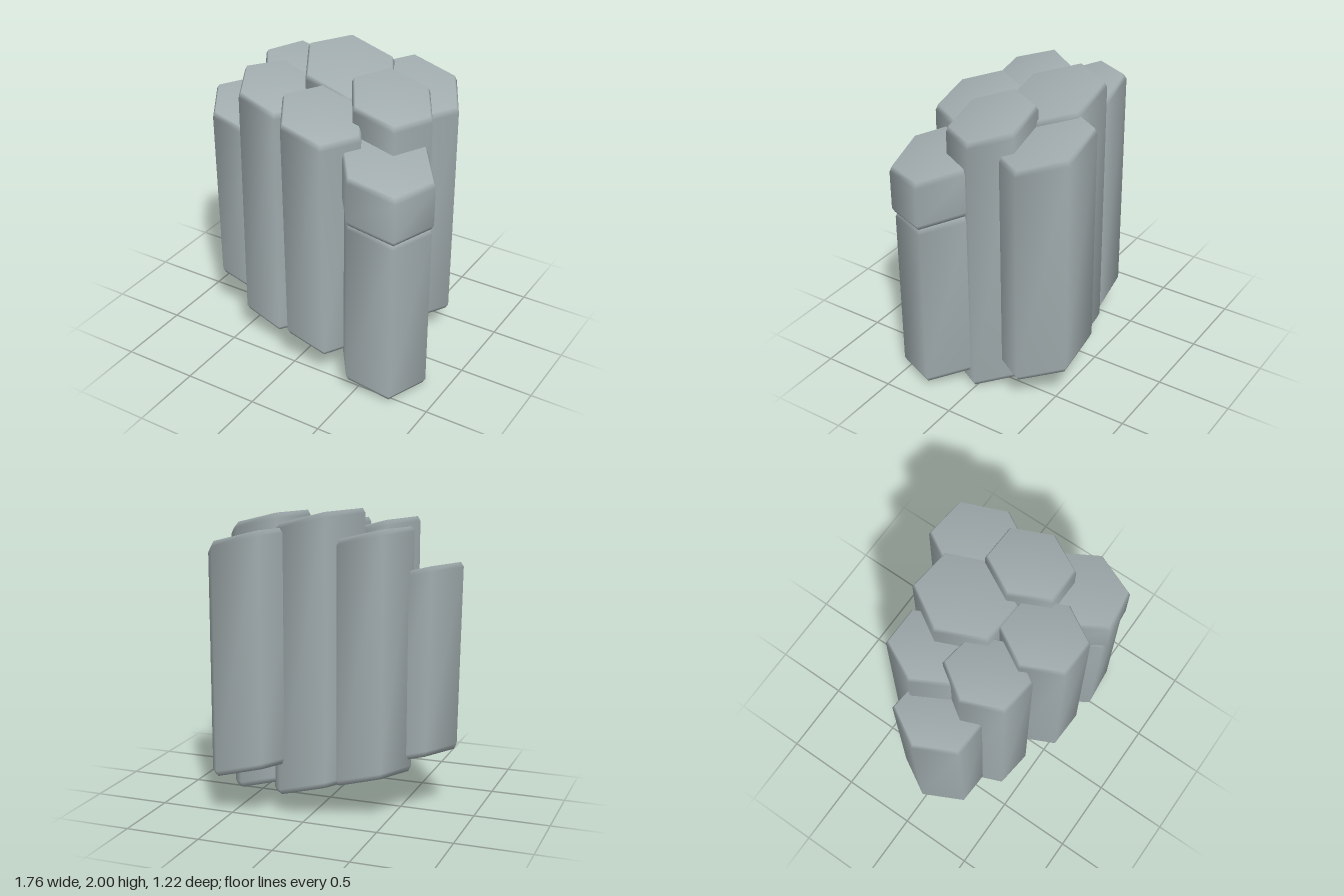
import * as THREE from 'three';

const SLOPE_X = -0.27, SLOPE_Z = -0.155; // shared tilt of every end face
const INSET = 0.018, BEVEL = 0.035;

// Six-sided column with tilted, bevelled ends and soft normals
function columnGeometry({ x, z, r, turn = 0, bottom, top, lean = 0 }) {
  const pos = [], index = [];
  const rings = [
    [r - INSET, bottom, 0],
    [r, bottom, BEVEL],
    [r, top, -BEVEL],
    [r - INSET, top, 0],
  ];
  const shift = (y) => lean * (1 - y / 2);
  for (const [radius, height, lift] of rings) {
    for (let i = 0; i < 6; i++) {
      const t = THREE.MathUtils.degToRad(turn + i * 60);
      const dx = radius * Math.cos(t), dz = radius * Math.sin(t);
      const y = height + lift + SLOPE_X * dx + SLOPE_Z * dz;
      pos.push(x + dx + shift(y), y, z + dz);
    }
  }
  // Bands between rings
  for (let k = 0; k < 3; k++) {
    for (let i = 0; i < 6; i++) {
      const a = k * 6 + i, b = k * 6 + (i + 1) % 6;
      index.push(a, a + 6, b, b, a + 6, b + 6);
    }
  }
  // End caps as fans
  pos.push(x + shift(bottom), bottom, z, x + shift(top), top, z);
  for (let i = 0; i < 6; i++) {
    const j = (i + 1) % 6;
    index.push(24, i, j, 25, 18 + j, 18 + i);
  }
  const geometry = new THREE.BufferGeometry();
  geometry.setAttribute('position', new THREE.Float32BufferAttribute(pos, 3));
  geometry.setIndex(index);
  geometry.computeVertexNormals();
  return geometry;
}

export function createModel() {
  const model = new THREE.Group();
  model.name = 'basaltColumns';
  const stone = new THREE.MeshStandardMaterial({ color: 0xa0abad });
  stone.name = 'greyStone';

  const columns = {
    farRightColumn: { x: -0.6, z: 0.06, r: 0.28, bottom: 0.355, top: 1.59, lean: 0.03 },
    backRightColumn: { x: -0.33, z: -0.16, r: 0.28, turn: -4, bottom: 0.24, top: 1.83 },
    frontRightColumn: { x: -0.28, z: 0.2, r: 0.27, turn: 4, bottom: 0.22, top: 1.85 },
    centreColumn: { x: 0.02, z: -0.17, r: 0.32, turn: 1, bottom: 0.15, top: 1.92 },
    frontColumn: { x: 0.115, z: 0.335, r: 0.28, bottom: 0.28, top: 1.81, lean: 0.03 },
    leftColumn: { x: 0.43, z: 0.02, r: 0.28, turn: -2, bottom: 0.076, top: 1.88 },
    backLeftColumn: { x: 0.4, z: -0.335, r: 0.315, bottom: 0.28, top: 1.81 },
    // Broken column in two stacked pieces
    brokenColumnBase: { x: 0.572, z: 0.31, r: 0.3, turn: -7, bottom: 0.1, top: 1.28 },
    brokenColumnCap: { x: 0.575, z: 0.32, r: 0.31, turn: -8, bottom: 1.28, top: 1.61 },
  };
  for (const [name, options] of Object.entries(columns)) {
    const mesh = new THREE.Mesh(columnGeometry(options), stone);
    mesh.name = name;
    model.add(mesh);
  }
  return model;
}
